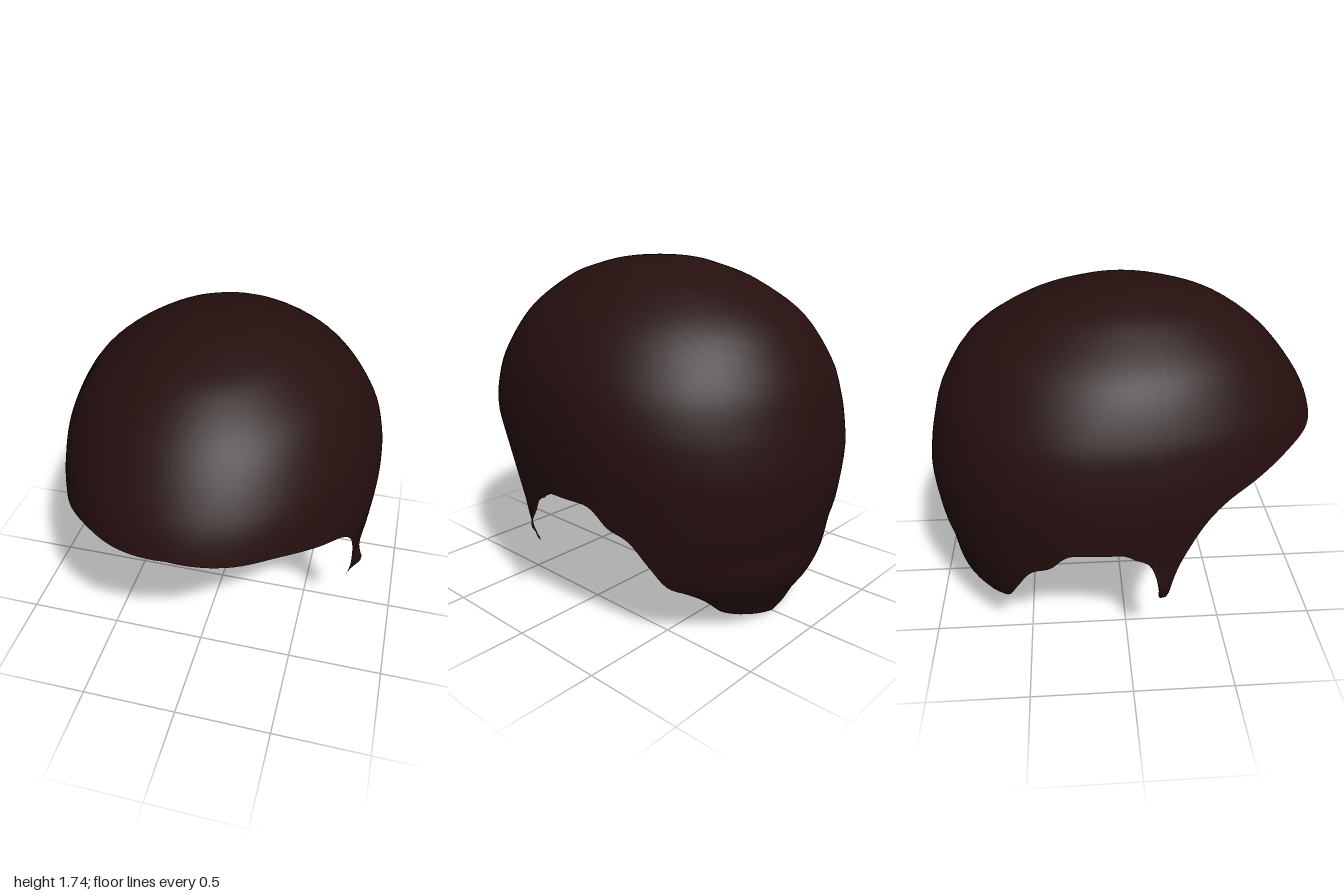
import * as THREE from 'three';

const V = (x, y, z) => new THREE.Vector3(x, y, z);

// Horizontal sections, crown to nape: height, half width, front z, back z, centre z
const SECTIONS = [
  [1.743, 0, 0, 0, 0],
  [1.728, 0.17, 0.19, -0.17, 0],
  [1.695, 0.29, 0.34, -0.31, 0],
  [1.625, 0.43, 0.53, -0.52, -0.01],
  [1.465, 0.636, 0.745, -0.76, -0.04],
  [1.244, 0.77, 0.92, -0.905, -0.11],
  [1.07, 0.816, 0.995, -0.96, -0.15],
  [0.935, 0.83, 1, -0.988, -0.15],
  [0.797, 0.828, 1, -1, -0.15],
  [0.57, 0.805, 1, -0.973, -0.15],
  [0.45, 0.79, 1, -0.94, -0.15],
  [0.3, 0.745, 1, -0.915, -0.15],
  [0.2, 0.65, 1, -0.88, -0.15],
  [0.1, 0.585, 1, -0.815, -0.15],
  [0, 0.52, 1, -0.765, -0.15],
];

// Hairline from forehead past the sideburn and ear to the nape: z, y
const HEM = [
  [1, 1.07], [0.94, 1.045], [0.8, 1.025], [0.6, 0.95], [0.46, 0.89], [0.36, 0.8],
  [0.25, 0.6], [0.21, 0.48], [0.19, 0.38], [0.168, 0.345], [0.146, 0.358], [0.134, 0.46],
  [0.12, 0.53], [0.08, 0.61], [0.01, 0.65], [-0.02, 0.675], [-0.13, 0.685], [-0.28, 0.685],
  [-0.32, 0.66], [-0.38, 0.595], [-0.46, 0.555], [-0.5, 0.51], [-0.55, 0.41], [-0.6, 0.305],
  [-0.66, 0.262], [-0.7, 0.12], [-0.72, 0.085], [-0.75, 0.055], [-0.765, 0],
];

const widths = new THREE.CatmullRomCurve3(SECTIONS.map(s => V(s[1], s[0], s[4])), false, 'catmullrom');
const depths = new THREE.CatmullRomCurve3(SECTIONS.map(s => V(s[2], s[3], 0)), false, 'catmullrom');

function sectionAt(u) {
  const a = widths.getPoint(u), b = depths.getPoint(u);
  return { w: a.x, y: a.y, zc: a.z, zf: b.x, zb: b.y };
}

// Curve parameter at a given height
function paramAt(y) {
  let lo = 0, hi = 1;
  for (let i = 0; i < 30; i++) {
    const mid = (lo + hi) / 2;
    if (widths.getPoint(mid).y > y) lo = mid; else hi = mid;
  }
  return (lo + hi) / 2;
}

// Point on the scalp; angle runs from the front (+z) round the left (+x)
function surfacePoint(u, angle) {
  const s = sectionAt(u), c = Math.cos(angle);
  const z = s.zc + c * (c > 0 ? s.zf - s.zc : s.zc - s.zb);
  let x = s.w * Math.sin(angle);
  // outward flick on the rear edge of each sideburn
  if (s.y < 0.62) {
    const flick = Math.exp(-(((z - 0.13) / 0.035) ** 2) - ((s.y - 0.46) / 0.06) ** 2);
    x += Math.sign(x) * 0.04 * flick;
  }
  return V(x, Math.max(s.y, 0), z);
}

function hemColumns() {
  const pts = HEM.map(([z, y]) => {
    const s = sectionAt(paramAt(y)), d = z - s.zc;
    const c = d / (d > 0 ? s.zf - s.zc : s.zc - s.zb);
    return V(Math.acos(THREE.MathUtils.clamp(c, -1, 1)), y, 0);
  });
  pts[0].x = 0;
  pts[pts.length - 1].x = Math.PI;
  const half = new THREE.CatmullRomCurve3(pts, false, 'centripetal').getSpacedPoints(120);
  // mirror for the right side, sharing the front and back columns
  const mirrored = half.slice(1, -1).reverse().map(p => V(2 * Math.PI - p.x, p.y, 0));
  return [...half, ...mirrored];
}

function hairGeometry() {
  const columns = hemColumns(), n = columns.length, rows = 44;
  const ends = columns.map(c => paramAt(c.y));
  const pos = [...surfacePoint(0, 0).toArray()], index = [];
  for (let r = 1; r <= rows; r++) {
    columns.forEach((c, i) => pos.push(...surfacePoint(ends[i] * r / rows, c.x).toArray()));
  }
  const at = (r, i) => 1 + (r - 1) * n + (i % n);
  for (let i = 0; i < n; i++) {
    index.push(0, at(1, i), at(1, i + 1));
    for (let r = 1; r < rows; r++) {
      index.push(at(r, i), at(r + 1, i), at(r + 1, i + 1));
      index.push(at(r, i), at(r + 1, i + 1), at(r, i + 1));
    }
  }
  const g = new THREE.BufferGeometry();
  g.setAttribute('position', new THREE.Float32BufferAttribute(pos, 3));
  g.setIndex(index);
  g.computeVertexNormals();
  return g;
}

export function createModel() {
  const group = new THREE.Group();
  group.name = 'hairpiece';
  const darkBrown = new THREE.MeshStandardMaterial({ color: 0x260f0f, side: THREE.DoubleSide });
  darkBrown.name = 'dark brown hair';
  const hair = new THREE.Mesh(hairGeometry(), darkBrown);
  hair.name = 'hairCap';
  group.add(hair);
  return group;
}
